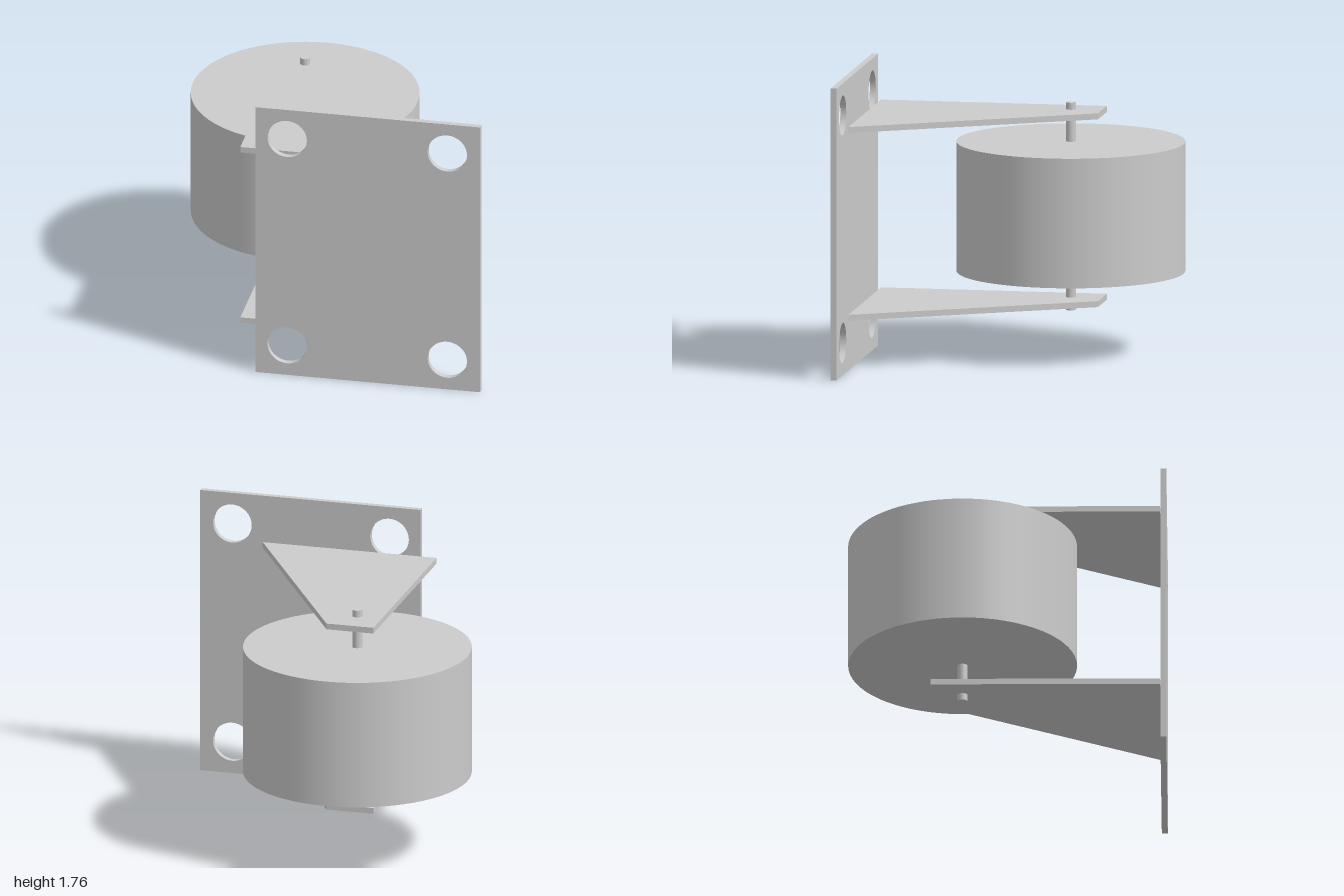
import * as THREE from 'three';

const material = new THREE.MeshStandardMaterial({ color: 0xcccccc });
const THICKNESS = 0.036;
const PLATE = { left: -0.37, right: 1, height: 1.765, back: 0.912 };
const AXLE = { x: -0.316, z: -0.27 };
const MID_Y = PLATE.height / 2 + 0.004;

function addMesh(group, name, geometry) {
  const mesh = new THREE.Mesh(geometry, material);
  mesh.name = name;
  group.add(mesh);
  return mesh;
}

function polygon(points) {
  return new THREE.Shape(points.map(([x, y]) => new THREE.Vector2(x, y)));
}

const extrude = (shape) => new THREE.ExtrudeGeometry(shape, {
  depth: THICKNESS, bevelEnabled: false, curveSegments: 48,
});

export function createModel() {
  const group = new THREE.Group();
  group.name = 'caster';

  // Upright mounting plate with four bolt holes
  const { left, right, height, back } = PLATE;
  const plate = polygon([[left, 0], [right, 0], [right, height], [left, height]]);
  for (const x of [left + 0.193, right - 0.2]) {
    for (const y of [0.197, height - 0.193]) {
      plate.holes.push(new THREE.Path().absarc(x, y, 0.12, 0, Math.PI * 2, true));
    }
  }
  addMesh(group, 'mountingPlate', extrude(plate)).position.z = back;

  // Two tapered fork arms, drawn in x/z and laid flat
  const arm = polygon([[-0.47, -0.46], [-0.178, -0.46], [0.611, back], [-0.47, back]]);
  for (const [name, side] of [['lowerForkArm', -1], ['upperForkArm', 1]]) {
    const mesh = addMesh(group, name, extrude(arm).rotateX(Math.PI / 2));
    mesh.position.y = MID_Y + side * 0.568 + THICKNESS / 2;
  }

  // Wheel and the axle through it
  const wheel = addMesh(group, 'wheel', new THREE.CylinderGeometry(0.684, 0.684, 0.784, 96));
  const axle = addMesh(group, 'axle', new THREE.CylinderGeometry(0.03, 0.03, 1.256, 32));
  for (const mesh of [wheel, axle]) mesh.position.set(AXLE.x, MID_Y, AXLE.z);

  return group;
}
